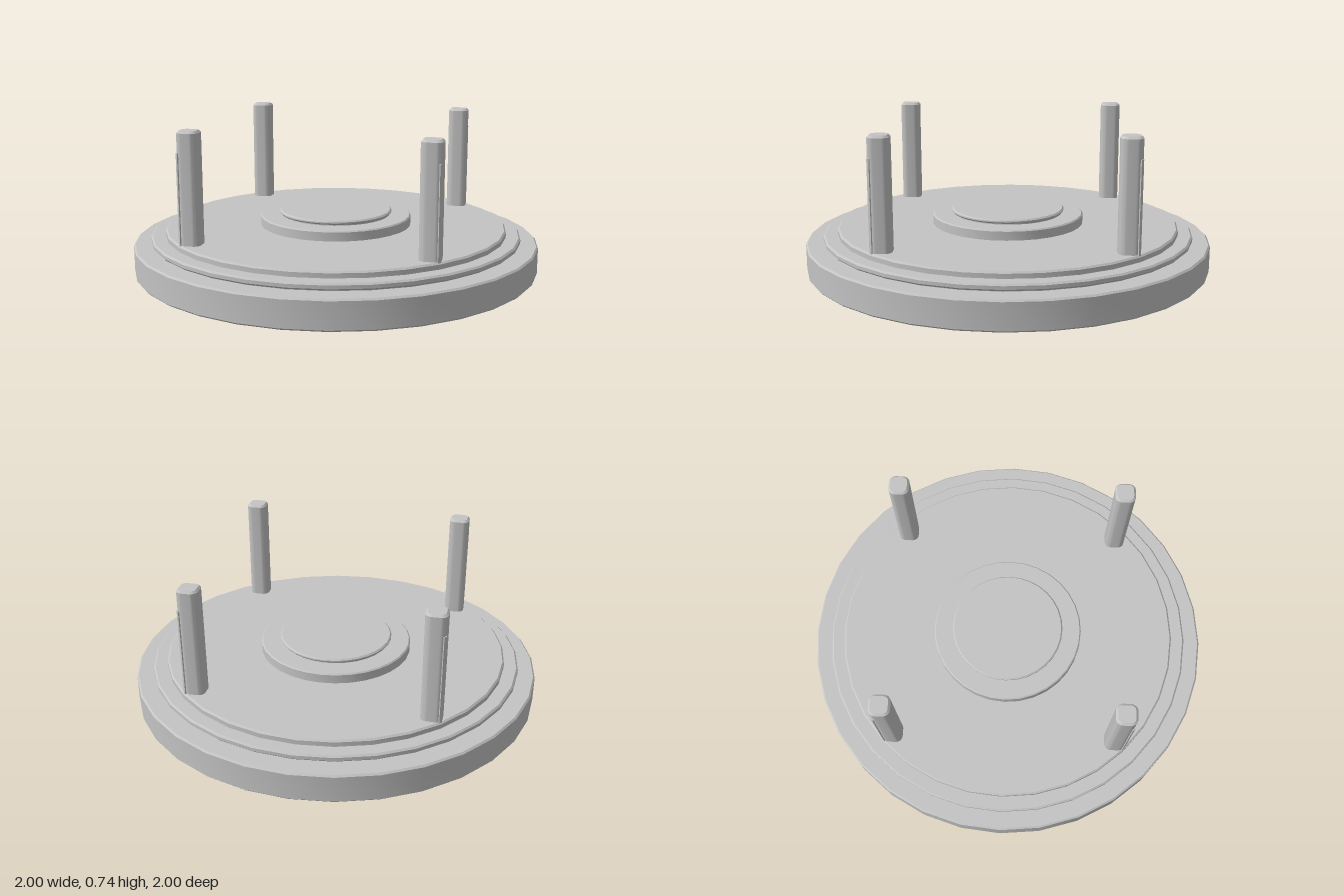
import * as THREE from 'three';
import { toCreasedNormals } from 'three/addons/utils/BufferGeometryUtils.js';

const SEGMENTS = 32;
const POST = 0.55; // post offset from the centre on both axes

// Solid disc with small chamfers on its rims
function disc(name, radius, y0, y1, bevel, material) {
  const profile = [
    [0, y0], [radius - bevel, y0], [radius, y0 + bevel],
    [radius, y1 - bevel], [radius - bevel, y1], [0, y1],
  ].map(([x, y]) => new THREE.Vector2(x, y));
  const mesh = new THREE.Mesh(toCreasedNormals(new THREE.LatheGeometry(profile, SEGMENTS), 0.6), material);
  mesh.name = name;
  return mesh;
}

// Rounded square outline
function roundedSquare(half, r) {
  const s = new THREE.Shape();
  const c = half - r;
  s.absarc(c, c, r, 0, Math.PI / 2);
  s.absarc(-c, c, r, Math.PI / 2, Math.PI);
  s.absarc(-c, -c, r, Math.PI, Math.PI * 1.5);
  s.absarc(c, -c, r, Math.PI * 1.5, Math.PI * 2);
  s.closePath();
  return s;
}

export function createModel() {
  const model = new THREE.Group();
  model.name = 'roundPlatform';
  const grey = new THREE.MeshStandardMaterial({ color: 0xc4c4c4 });
  grey.name = 'light grey';

  // Stepped round platform
  model.add(
    disc('base', 1, 0, 0.14, 0.008, grey),
    disc('stepNeck', 0.895, 0.13, 0.16, 0.004, grey),
    disc('lowerStep', 0.915, 0.146, 0.178, 0.008, grey),
    disc('deck', 0.845, 0.17, 0.208, 0.008, grey),
    disc('centrePad', 0.375, 0.2, 0.257, 0.006, grey),
    disc('padNeck', 0.27, 0.25, 0.27, 0.004, grey),
    disc('padCap', 0.28, 0.262, 0.282, 0.007, grey),
  );

  // Rounded square posts with chamfered tops
  const bevel = 0.01;
  const bottom = 0.18, top = 0.735;
  const extruded = new THREE.ExtrudeGeometry(roundedSquare(0.05 - bevel, 0.022), {
    depth: top - bottom - 2 * bevel,
    bevelSize: bevel, bevelThickness: bevel, bevelSegments: 1, curveSegments: 4,
  });
  extruded.rotateX(-Math.PI / 2).translate(0, bottom + bevel, 0);
  const postGeometry = toCreasedNormals(extruded, 0.6);

  // Slim rib on the outward corner of each post
  const ribGeometry = new THREE.BoxGeometry(0.016, 0.435, 0.02);
  ribGeometry.translate(0, 0.4175, 0.044 * Math.SQRT2 - 0.01);

  for (let i = 0; i < 4; i++) {
    const angle = Math.PI / 4 + (i * Math.PI) / 2;
    const group = new THREE.Group();
    group.name = 'cornerPost' + (i + 1);
    group.position.set(POST * Math.sign(Math.sin(angle)), 0, POST * Math.sign(Math.cos(angle)));
    const post = new THREE.Mesh(postGeometry, grey);
    post.name = 'post';
    const rib = new THREE.Mesh(ribGeometry, grey);
    rib.name = 'outerRib';
    rib.rotation.y = angle;
    group.add(post, rib);
    model.add(group);
  }
  return model;
}
